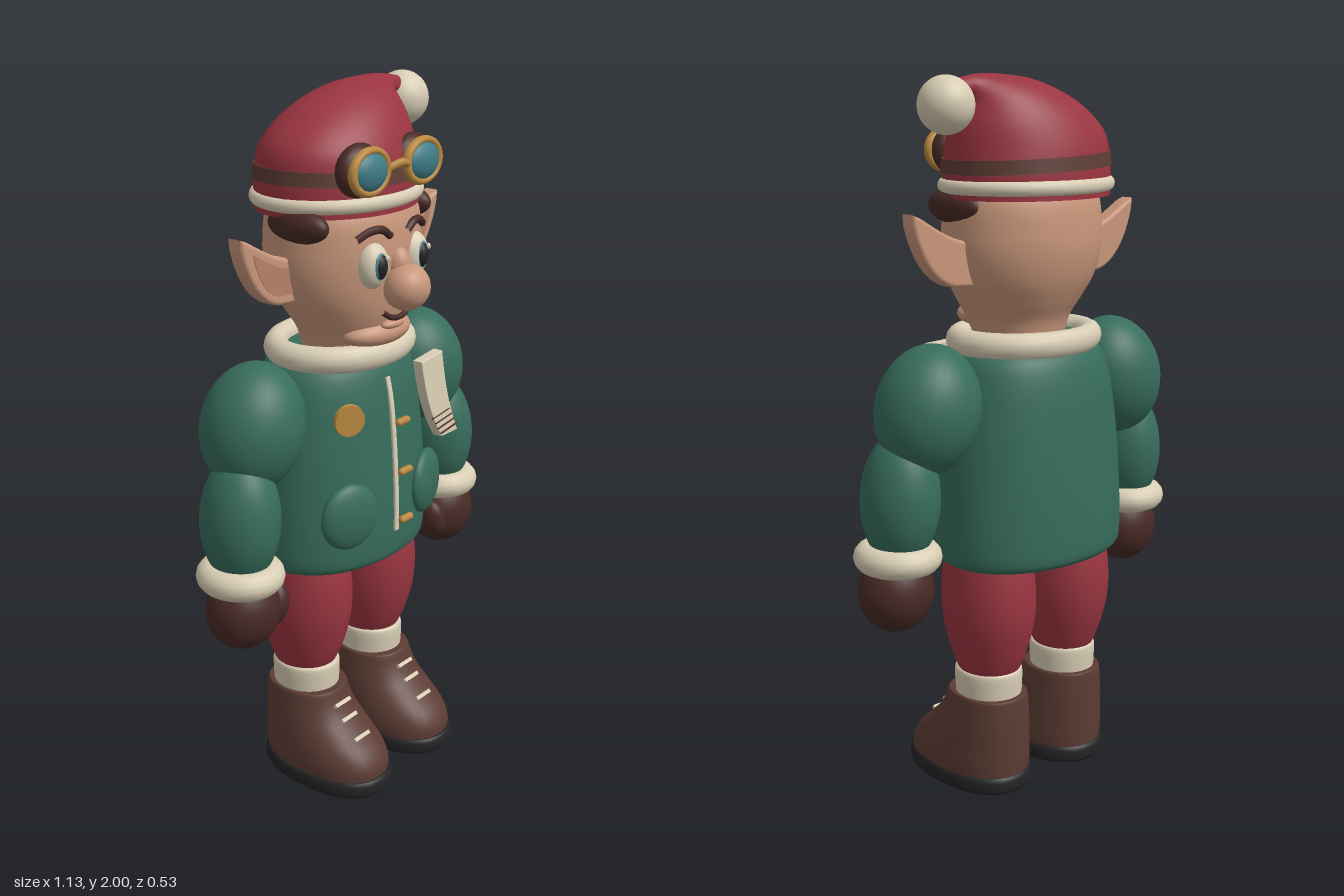
import * as THREE from 'three';

const mat = (name, color) => {
  const m = new THREE.MeshStandardMaterial({ color });
  m.name = name;
  return m;
};

// Loft through rows [leftX, leftY, rightX, rightY, backZ, frontZ], smoothed along its height.
// power 2 gives ellipses, higher values squarer sections.
function loft(rows, { power = 2, seg = 40, sub = 4 } = {}) {
  const pos = [], idx = [];
  const levels = [];
  const mix = (a, b, c, d, t) => 0.5 * (2 * b + (c - a) * t + (2 * a - 5 * b + 4 * c - d) * t * t + (3 * b - a - 3 * c + d) * t * t * t);
  const n = rows.length - 1;
  for (let i = 0; i < n; i++) {
    const [a, b, c, d] = [rows[Math.max(i - 1, 0)], rows[i], rows[i + 1], rows[Math.min(i + 2, n)]];
    for (let k = 0; k < sub; k++) levels.push(b.map((_, q) => mix(a[q], b[q], c[q], d[q], k / sub)));
  }
  levels.push(rows[n]);
  const ring = ([lx, ly, rx, ry, z0, z1]) => {
    for (let j = 0; j < seg; j++) {
      const a = (j / seg) * Math.PI * 2, c = Math.cos(a), s = Math.sin(a);
      const u = Math.sign(c) * Math.abs(c) ** (2 / power), v = Math.sign(s) * Math.abs(s) ** (2 / power);
      pos.push((lx + rx) / 2 + u * (rx - lx) / 2, (ly + ry) / 2 + u * (ry - ly) / 2, (z0 + z1) / 2 + v * (z1 - z0) / 2);
    }
  };
  levels.forEach(ring);
  for (let i = 0; i < levels.length - 1; i++) for (let j = 0; j < seg; j++) {
    const a = i * seg + j, b = i * seg + (j + 1) % seg;
    idx.push(a, a + seg, b, b, a + seg, b + seg);
  }
  // End caps with their own corners, so their rims stay crisp
  [levels[0], levels[levels.length - 1]].forEach((l, top) => {
    const base = pos.length / 3;
    ring(l);
    pos.push((l[0] + l[2]) / 2, (l[1] + l[3]) / 2, (l[4] + l[5]) / 2);
    for (let j = 0; j < seg; j++) {
      const a = base + j, b = base + (j + 1) % seg;
      idx.push(base + seg, top ? b : a, top ? a : b);
    }
  });
  const g = new THREE.BufferGeometry();
  g.setAttribute('position', new THREE.Float32BufferAttribute(pos, 3));
  g.setIndex(idx);
  g.computeVertexNormals();
  return g;
}
// Level section: centre x, height, half width, back and front
const row = (x, y, r, z0, z1) => [x - r, y, x + r, y, z0, z1];

export function createModel() {
  const root = new THREE.Group();
  root.name = 'elf';
  const red = mat('red cloth', 0x9a3540), cream = mat('cream wool', 0xd8cdb4), green = mat('green coat', 0x376c5b);
  const leather = mat('brown leather', 0x5c3c34), dark = mat('dark brown', 0x482a25), black = mat('black sole', 0x242426);
  const gold = mat('brass', 0xb98840), teal = mat('teal glass', 0x3f7c87), skin = mat('skin', 0xc8967a), inner = mat('inner ear', 0xb58068);

  const add = (name, geo, material, p = [0, 0, 0], r = [0, 0, 0]) => {
    const m = new THREE.Mesh(geo, material);
    m.name = name;
    m.position.set(...p);
    m.rotation.set(...r);
    root.add(m);
    return m;
  };
  const ball = (name, material, p, [x, y, z], r) => add(name, new THREE.SphereGeometry(1, 32, 20).scale(x, y, z), material, p, r);
  const hoop = (name, material, p, rx, rz, t) =>
    add(name, new THREE.TorusGeometry(rx - t, t, 14, 56).rotateX(Math.PI / 2).scale(1, 1, rz / rx), material, p);
  const tube = (name, material, pts, r) =>
    add(name, new THREE.TubeGeometry(new THREE.CatmullRomCurve3(pts.map(p => new THREE.Vector3(...p))), 20, r, 8), material);

  // Coat
  const coat = [
    [0.67, 0.25, -0.225, 0.13], [0.68, 0.275, -0.25, 0.155], [0.71, 0.292, -0.264, 0.171], [0.82, 0.292, -0.264, 0.174],
    [0.96, 0.284, -0.257, 0.168], [1.1, 0.268, -0.245, 0.156], [1.2, 0.248, -0.23, 0.142], [1.26, 0.22, -0.205, 0.12], [1.3, 0.16, -0.15, 0.08],
  ];
  add('coat', loft(coat.map(([y, ...r]) => row(0, y, ...r)), { power: 2.15, seg: 56 }), green);
  const coatZ = (x, y) => {
    const i = Math.max(1, coat.findIndex(c => c[0] >= y)), a = coat[i - 1], b = coat[i];
    const t = (y - a[0]) / (b[0] - a[0]), at = k => a[k] + (b[k] - a[k]) * t;
    return (at(2) + at(3)) / 2 + (at(3) - at(2)) / 2 * Math.sqrt(1 - (x / at(1)) ** 2);
  };
  add('placket', loft([0.77, 0.88, 1, 1.1, 1.17, 1.22].map(y => row(0, y, 0.009, coatZ(0, y) - 0.02, coatZ(0, y) + 0.008)), { power: 6, seg: 16 }), cream);
  for (const y of [0.8, 0.945, 1.09])
    add('toggle', new THREE.CapsuleGeometry(0.011, 0.034, 6, 14), gold, [0.03, y, coatZ(0, y) + 0.014], [0, 0, Math.PI / 2]);
  add('badge', new THREE.CylinderGeometry(0.044, 0.046, 0.016, 32), gold, [-0.145, 1.13, coatZ(0.145, 1.13) + 0.004], [Math.PI / 2, 0, 0.45]);
  hoop('collar', cream, [0, 1.292, -0.03], 0.235, 0.195, 0.037);

  // Hanging scarf end
  const flap = new THREE.Shape();
  flap.moveTo(0.058, 1.26);
  flap.bezierCurveTo(0.068, 1.17, 0.09, 1.1, 0.145, 1.025);
  flap.lineTo(0.237, 1.015);
  flap.bezierCurveTo(0.2, 1.09, 0.18, 1.16, 0.175, 1.26);
  const scarf = new THREE.ExtrudeGeometry(flap, { depth: 0.025, bevelEnabled: true, bevelSize: 0.003, bevelThickness: 0.004, bevelSegments: 2 });
  const sp = scarf.attributes.position;
  for (let i = 0; i < sp.count; i++) sp.setZ(i, sp.getZ(i) + 0.187 - 0.17 * (sp.getX(i) - 0.05) + 0.1 * (1.26 - sp.getY(i)));
  scarf.computeVertexNormals();
  add('scarf', scarf, cream);
  for (let i = 0; i < 4; i++)
    add('scarf stripe', new THREE.BoxGeometry(0.1, 0.004, 0.004), leather, [0.184 - i * 0.012, 1.035 + i * 0.018, 0.218 - i * 0.001], [0, 0.17, 0]);

  // Head
  add('head', loft([
    row(0, 1.26, 0.12, -0.13, 0.1), row(0, 1.34, 0.145, -0.14, 0.135), row(0, 1.4, 0.182, -0.172, 0.158), row(0, 1.46, 0.218, -0.2, 0.17),
    row(0, 1.53, 0.238, -0.216, 0.175), row(0, 1.6, 0.24, -0.217, 0.174), row(0, 1.68, 0.23, -0.205, 0.16), row(0, 1.76, 0.18, -0.16, 0.11),
  ], { seg: 48 }), skin);
  ball('chin', skin, [0, 1.35, 0.095], [0.125, 0.045, 0.072]);
  ball('nose', skin, [0, 1.485, 0.2], [0.067, 0.063, 0.063]);
  ball('noseBridge', skin, [0, 1.54, 0.168], [0.034, 0.05, 0.036]);
  tube('mouth', dark, [[-0.055, 1.42, 0.163], [-0.03, 1.403, 0.172], [0, 1.398, 0.175], [0.03, 1.403, 0.172], [0.055, 1.42, 0.163]], 0.008);
  ball('lower lip', skin, [0, 1.378, 0.155], [0.045, 0.014, 0.02]);

  // Hat: the cone leans over to the left side
  add('hat', loft([
    [-0.248, 1.68, 0.248, 1.68, -0.243, 0.163], [-0.248, 1.78, 0.25, 1.75, -0.24, 0.16], [-0.228, 1.86, 0.246, 1.81, -0.225, 0.145],
    [-0.135, 1.935, 0.24, 1.86, -0.195, 0.112], [-0.01, 1.985, 0.228, 1.9, -0.155, 0.07], [0.1, 2, 0.22, 1.93, -0.115, 0.025],
    [0.19, 2, 0.228, 1.945, -0.08, -0.015], [0.275, 1.985, 0.255, 1.92, -0.08, -0.02],
  ], { seg: 48 }), red);
  hoop('hatTrim', cream, [0, 1.712, -0.04], 0.262, 0.215, 0.02);
  add('goggleStrap', loft([[-0.254, 1.765, 0.255, 1.745, -0.246, 0.167], [-0.25, 1.802, 0.253, 1.782, -0.24, 0.16]], { seg: 48 }), leather);
  ball('pompom', cream, [0.297, 1.923, -0.055], [0.075, 0.075, 0.075]);
  tube('goggleBridge', gold, [[-0.04, 1.8, 0.165], [0, 1.812, 0.178], [0.04, 1.8, 0.165]], 0.011);

  for (const s of [-1, 1]) {
    // Goggles
    ball('goggleCup', dark, [s * 0.11, 1.8, 0.125], [0.08, 0.07, 0.042]);
    add('goggleRim', new THREE.TorusGeometry(0.068, 0.013, 12, 40).scale(1, 0.8, 1), gold, [s * 0.11, 1.8, 0.162]);
    ball('goggleLens', teal, [s * 0.11, 1.8, 0.158], [0.066, 0.052, 0.032]);

    // Eyes and brows
    ball('eye', cream, [s * 0.086, 1.552, 0.152], [0.048, 0.062, 0.04]);
    ball('iris', teal, [s * 0.088, 1.553, 0.165], [0.033, 0.046, 0.031]);
    ball('pupil', black, [s * 0.088, 1.553, 0.168], [0.027, 0.04, 0.032]);
    ball('eyeGlint', cream, [s * 0.088 + 0.014, 1.575, 0.193], [0.007, 0.009, 0.006]);
    tube('brow', dark, [[s * 0.035, 1.625, 0.17], [s * 0.065, 1.645, 0.168], [s * 0.1, 1.645, 0.158], [s * 0.14, 1.625, 0.142]], 0.011);
    ball('hair', dark, [s * 0.215, 1.66, 0.01], [0.042, 0.047, 0.1]);

    // Pointed ears with a sunken inner face
    const ear = (k, depth, bevel) => {
      const at = (x, y) => [s * (0.29 + (x - 0.29) * k), 1.525 + (y - 1.525) * k];
      const sh = new THREE.Shape();
      sh.moveTo(...at(0.2, 1.56));
      sh.bezierCurveTo(...at(0.27, 1.56), ...at(0.33, 1.6), ...at(0.4, 1.64));
      sh.bezierCurveTo(...at(0.385, 1.56), ...at(0.34, 1.48), ...at(0.27, 1.465));
      sh.lineTo(...at(0.2, 1.46));
      return new THREE.ExtrudeGeometry(sh, { depth, curveSegments: 16, bevelEnabled: bevel > 0, bevelSize: bevel, bevelThickness: bevel, bevelSegments: 4 });
    };
    add('ear', ear(1, 0.03, 0.011), skin, [0, 0, -0.045]);
    add('innerEar', ear(0.72, 0.004, 0), inner, [0, 0, -0.006]);

    // Arms and mittens
    ball('upperSleeve', green, [s * 0.355, 1.135, -0.035], [0.146, 0.178, 0.14], [0, 0, s * 0.25]);
    ball('lowerSleeve', green, [s * 0.436, 0.9, -0.012], [0.105, 0.185, 0.115], [0, 0, s * 0.06]);
    hoop('cuff', cream, [s * 0.445, 0.742, -0.008], 0.118, 0.124, 0.039);
    ball('mitten', dark, [s * 0.447, 0.642, 0], [0.106, 0.112, 0.1]);
    ball('thumb', dark, [s * 0.362, 0.638, 0.035], [0.038, 0.065, 0.045], [0, 0, s * 0.2]);

    // Coat pockets
    ball('pocket', green, [s * 0.17, 0.86, 0.145], [0.09, 0.096, 0.034], [0, s * 0.3, 0]);

    // Legs, socks and boots
    const x = s * 0.148;
    add('trouserLeg', loft([
      row(x, 0.335, 0.08, -0.125, 0.04), row(x, 0.4, 0.1, -0.155, 0.073), row(x, 0.5, 0.122, -0.182, 0.1),
      row(x, 0.6, 0.125, -0.184, 0.104), row(x, 0.7, 0.115, -0.165, 0.085), row(x, 0.76, 0.1, -0.14, 0.06),
    ]), red);
    add('sock', loft([row(x, 0.26, 0.09, -0.138, 0.06), row(x, 0.34, 0.093, -0.141, 0.063), row(x, 0.355, 0.086, -0.134, 0.056)]), cream);
    add('boot', loft([
      row(x, 0.04, 0.128, -0.155, 0.243), row(x, 0.08, 0.13, -0.158, 0.24), row(x, 0.12, 0.126, -0.158, 0.215), row(x, 0.16, 0.12, -0.158, 0.168),
      row(x, 0.2, 0.113, -0.158, 0.124), row(x, 0.24, 0.106, -0.157, 0.098), row(x, 0.275, 0.1, -0.155, 0.085), row(x, 0.28, 0.094, -0.15, 0.08),
    ], { power: 2.3 }), leather);
    add('sole', loft([
      row(x, 0, 0.127, -0.157, 0.247), row(x, 0.012, 0.134, -0.165, 0.255), row(x, 0.038, 0.134, -0.165, 0.255), row(x, 0.05, 0.128, -0.158, 0.248),
    ], { power: 2.3 }), black);
    for (const [y, z] of [[0.155, 0.172], [0.2, 0.124], [0.24, 0.099]])
      add('lace', new THREE.BoxGeometry(0.064, 0.011, 0.014), cream, [x, y, z], [-0.7, 0, 0]);
  }
  return root;
}
